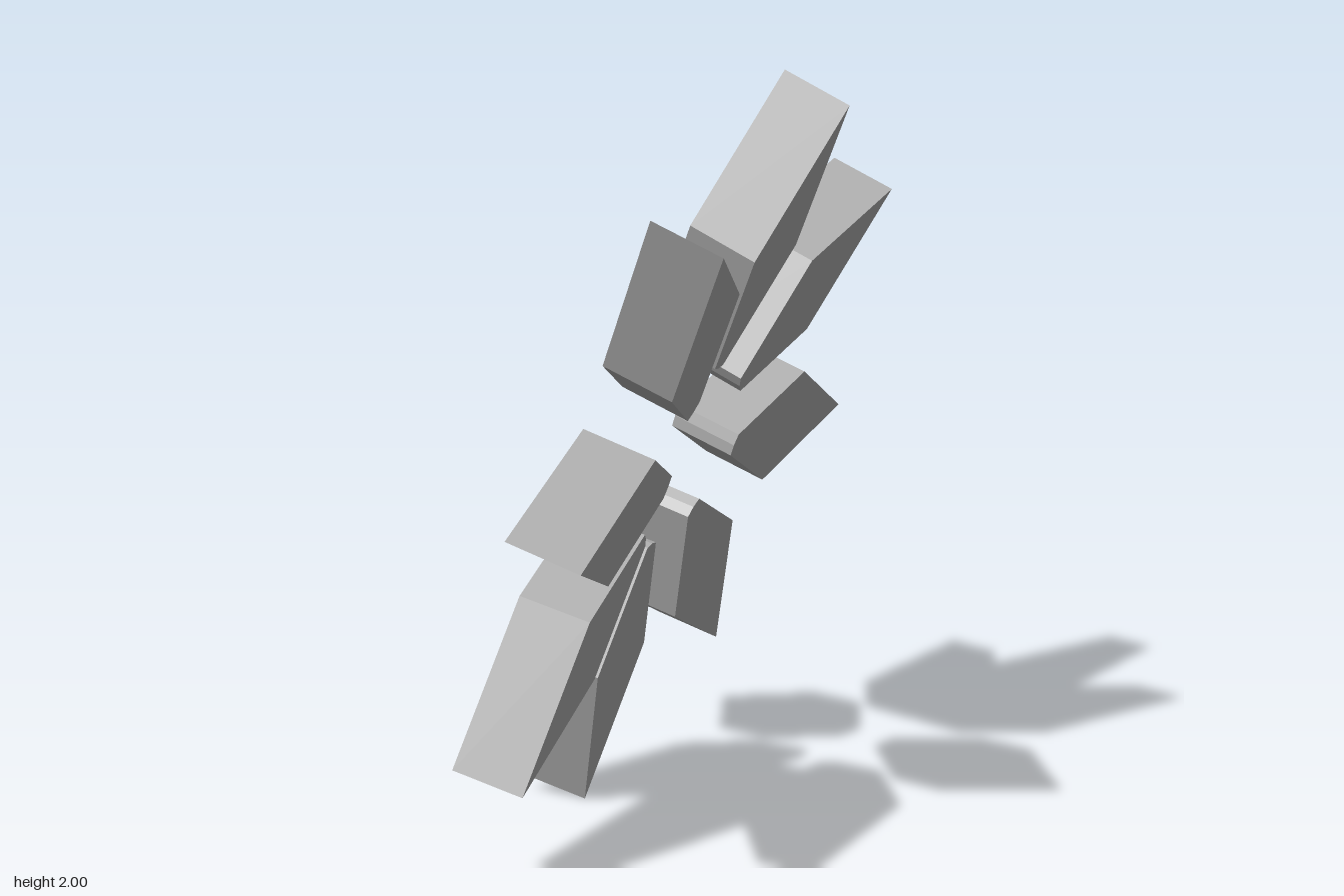
import * as THREE from 'three';

const TIP = 1.035; // radius of the outer points
const THICK = 0.19;
const TILT = 0.1; // each petal leans slightly out of the ring plane

// Rhombus with a blunt inner end; the origin is at its outer point
function petalGeometry() {
  const shape = new THREE.Shape([
    [0, 0], [-0.425, 0.173], [-0.765, 0.032], [-0.77, 0], [-0.765, -0.032], [-0.425, -0.173],
  ].map(([x, y]) => new THREE.Vector2(x, y)));
  const geometry = new THREE.ExtrudeGeometry(shape, { depth: THICK, bevelEnabled: false });
  return geometry.translate(0, 0, -THICK / 2);
}

export function createModel() {
  const model = new THREE.Group();
  model.name = 'petalRing';
  const grey = new THREE.MeshStandardMaterial({ color: 0xb4b4b4 });
  grey.name = 'grey';
  const geometry = petalGeometry();

  // Ring plane: local x points up, local y points forward, local z is the axis
  const ring = new THREE.Group();
  ring.name = 'ring';
  const up = new THREE.Vector3(0.34, 0.965, -0.14).normalize();
  const axis = up.clone().cross(new THREE.Vector3(0.3975, 0.001, 0.9525)).normalize();
  const forward = axis.clone().cross(up);
  ring.quaternion.setFromRotationMatrix(new THREE.Matrix4().makeBasis(up, forward, axis));
  ring.position.y = 1;
  model.add(ring);

  // Eight petals, alternately shifted a little along the axis
  for (let i = 0; i < 8; i++) {
    const angle = (i * Math.PI) / 4;
    const arm = new THREE.Group();
    arm.name = `petalArm${i + 1}`;
    arm.rotation.z = angle;
    const petal = new THREE.Mesh(geometry, grey);
    petal.name = `petal${i + 1}`;
    petal.position.set(TIP, 0, -0.026 * Math.cos(2 * angle));
    petal.rotation.y = -TILT;
    arm.add(petal);
    ring.add(arm);
  }
  return model;
}
